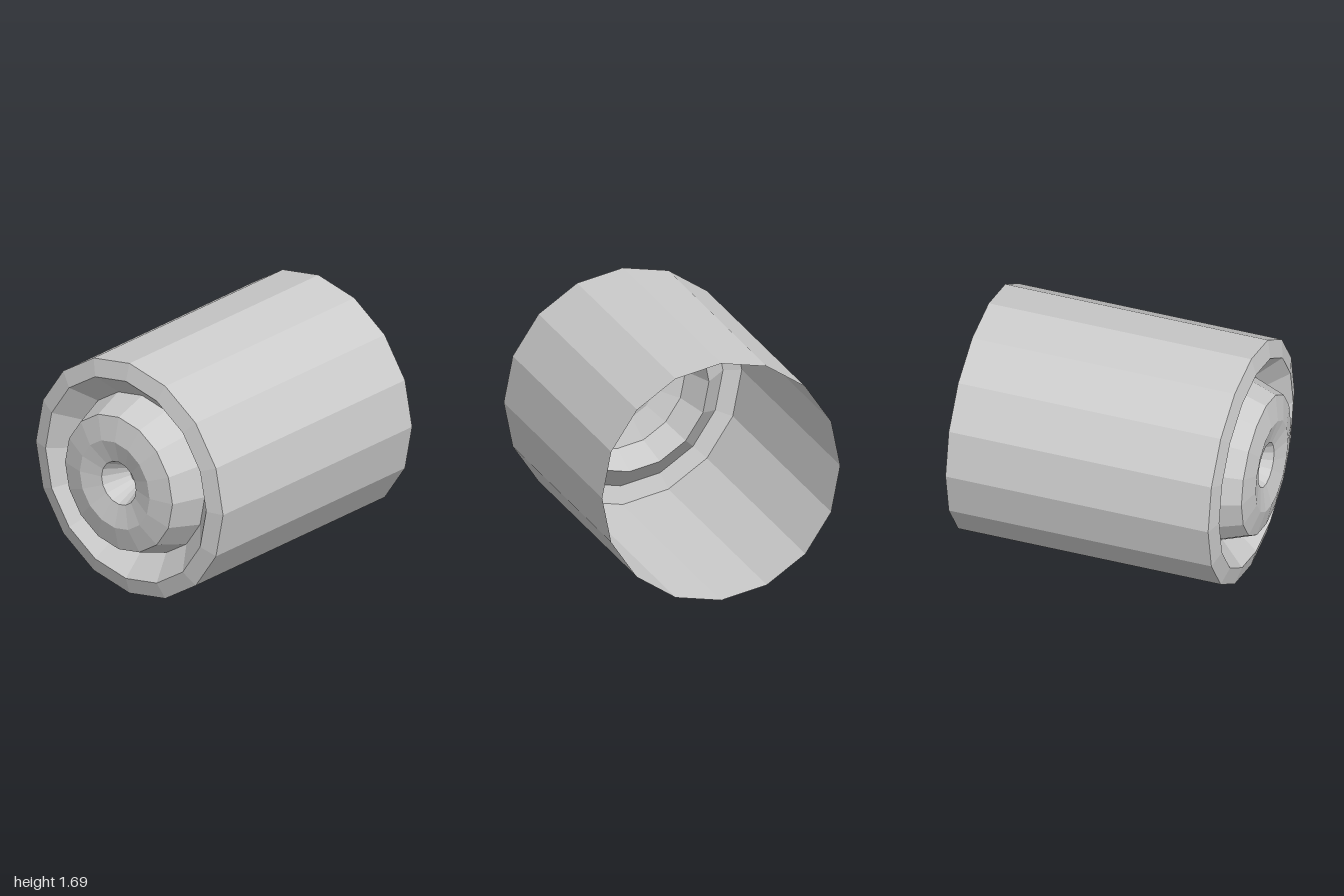
import * as THREE from 'three';

const SIDES = 16;
const RADIUS = 0.845;

export function createModel() {
  const group = new THREE.Group();
  group.name = 'hollowCasing';
  const material = new THREE.MeshStandardMaterial({
    color: 0xcccccc, flatShading: true, side: THREE.DoubleSide,
  });

  // Revolves [radius, x] pairs around the horizontal axis of the casing
  function addRevolved(name, profile) {
    const points = profile.map(([r, x]) => new THREE.Vector2(r, x));
    const geometry = new THREE.LatheGeometry(points, SIDES);
    geometry.rotateZ(-Math.PI / 2);
    const mesh = new THREE.Mesh(geometry, material);
    mesh.name = name;
    mesh.position.y = RADIUS;
    group.add(mesh);
  }

  // Thin tube, open at the +x end
  addRevolved('casingWall', [[RADIUS, -0.855], [RADIUS, 1]]);
  // Bevelled rim of the closed end
  addRevolved('rimBevel', [[0.725, -0.89], [RADIUS, -0.855]]);
  // V-shaped groove between the rim and the boss
  addRevolved('extractionGroove', [[0.485, -0.96], [0.565, -0.73], [0.725, -0.89]]);
  // Raised boss with a bevelled edge and a slightly dished face
  addRevolved('endBoss', [[0.155, -0.96], [0.315, -1], [0.485, -0.96]]);
  // Tapered blind hole in the middle
  addRevolved('centreHole', [[0, -0.77], [0.07, -0.77], [0.155, -0.96]]);

  return group;
}
